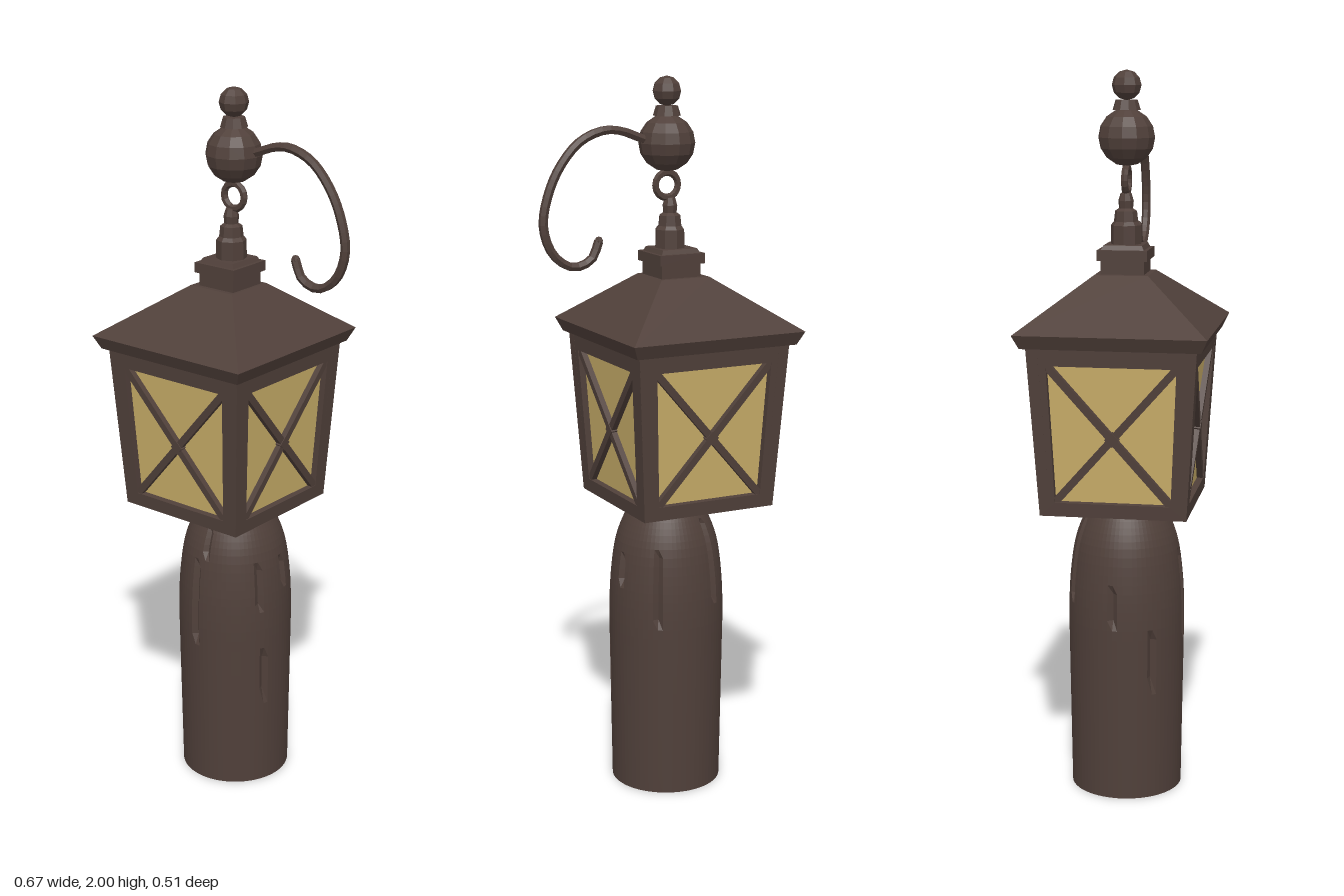
import * as THREE from 'three';

export function createModel() {
  const model = new THREE.Group();
  const brown = new THREE.MeshStandardMaterial({ color: 0x50403a, flatShading: true });
  brown.name = 'weathered brown';
  const amber = new THREE.MeshStandardMaterial({ color: 0xc8ad68, flatShading: true });
  amber.name = 'amber glass';

  const add = (name, geometry, material = brown, parent = model) => {
    const mesh = new THREE.Mesh(geometry, material);
    mesh.name = name;
    parent.add(mesh);
    return mesh;
  };

  // Square block whose lower and upper halves differ in width and x centre
  const block = (name, y0, y1, half0, half1, x0, x1 = x0) => {
    const g = new THREE.BoxGeometry(2, 1, 2);
    const p = g.attributes.position;
    for (let i = 0; i < p.count; i++) {
      const up = p.getY(i) > 0;
      const half = up ? half1 : half0;
      p.setXYZ(i, p.getX(i) * half + (up ? x1 : x0), up ? y1 : y0, p.getZ(i) * half);
    }
    g.computeVertexNormals();
    return add(name, g);
  };

  const ball = (name, x, y, r, z = 0, w = 12, h = 8) =>
    add(name, new THREE.SphereGeometry(r, w, h)).position.set(x, y, z);

  // Wooden post: rounded shoulder, with cracks pushed into the surface
  const radius = new THREE.CatmullRomCurve3([
    [0.155, 0], [0.158, 0.2], [0.161, 0.4], [0.162, 0.52], [0.157, 0.62],
    [0.142, 0.72], [0.115, 0.79], [0.085, 0.84],
  ].map(([r, y]) => new THREE.Vector3(r, y, 0)));
  const profile = [new THREE.Vector2(0, 0),
    ...radius.getPoints(28).map(v => new THREE.Vector2(v.x, v.y))];
  const postGeo = new THREE.LatheGeometry(profile, 72);
  const cracks = [ // angle, lowest y, highest y
    [-0.1, 0.46, 0.69], [0.1, 0.72, 0.78], [1.1, 0.55, 0.68], [-0.95, 0.33, 0.48],
    [1.25, 0.3, 0.42], [1.75, 0.6, 0.68], [2.5, 0.5, 0.7], [-2.6, 0.55, 0.78], [-1.7, 0.5, 0.62],
  ];
  const pp = postGeo.attributes.position;
  for (let i = 0; i < pp.count; i++) {
    const x = pp.getX(i), y = pp.getY(i), z = pp.getZ(i);
    const a = Math.atan2(x, z);
    if (cracks.some(([c, lo, hi]) => Math.abs(a - c) < 0.0437 && y > lo && y < hi)) {
      pp.setXYZ(i, x * 0.92, y, z * 0.92);
    }
  }
  postGeo.computeVertexNormals();
  add('post', postGeo).position.x = -0.045;

  // Lantern body: four leaning framed panes
  const bodyX = -0.078;
  const trapezoid = (Path, y0, y1, h0, h1) => {
    const s = new Path();
    s.moveTo(-h0, y0);
    s.lineTo(h0, y0);
    s.lineTo(h1, y1);
    s.lineTo(-h1, y1);
    s.closePath();
    return s;
  };
  const bar = (parent, x0, y0, x1, y1) => {
    const len = Math.hypot(x1 - x0, y1 - y0);
    const m = add('crossBar', new THREE.BoxGeometry(len, 0.02, 0.02), brown, parent);
    m.position.set((x0 + x1) / 2, (y0 + y1) / 2, -0.012);
    m.rotation.z = Math.atan2(y1 - y0, x1 - x0);
  };
  for (let i = 0; i < 4; i++) {
    const side = new THREE.Group();
    side.name = 'lanternSide';
    side.position.set(bodyX, 0, 0);
    side.rotation.y = i * Math.PI / 2;
    const panel = new THREE.Group();
    panel.name = 'panel';
    panel.position.set(0, 0.83, 0.198);
    panel.rotation.x = 0.061;
    side.add(panel);
    model.add(side);

    const frame = trapezoid(THREE.Shape, 0, 0.468, 0.198, 0.227);
    frame.holes.push(trapezoid(THREE.Path, 0.038, 0.412, 0.156, 0.173));
    const frameGeo = new THREE.ExtrudeGeometry(frame, { depth: 0.03, bevelEnabled: false });
    frameGeo.translate(0, 0, -0.03);
    add('paneFrame', frameGeo, brown, panel);

    const glass = trapezoid(THREE.Shape, 0.03, 0.42, 0.16, 0.178);
    add('glass', new THREE.ShapeGeometry(glass), amber, panel).position.z = -0.018;
    bar(panel, -0.156, 0.038, 0.173, 0.412);
    bar(panel, 0.156, 0.038, -0.173, 0.412);
    const boss = add('crossBoss', new THREE.BoxGeometry(0.028, 0.028, 0.022), brown, panel);
    boss.position.set(0, 0.216, -0.011);
    boss.rotation.z = Math.PI / 4;
  }
  block('lanternFloor', 0.831, 0.86, 0.194, 0.196, bodyX);

  // Roof and stepped cap
  block('eave', 1.288, 1.325, 0.24, 0.257, -0.079);
  block('roof', 1.325, 1.463, 0.257, 0.073, -0.079, -0.066);
  block('capNeck', 1.455, 1.505, 0.059, 0.059, -0.06);
  block('capSlab', 1.5, 1.528, 0.068, 0.068, -0.06);
  block('capTop', 1.528, 1.54, 0.058, 0.052, -0.06);

  // Turned finial above the cap
  const finial = [[0, 1.53], [0.042, 1.53], [0.041, 1.59], [0.033, 1.6], [0.03, 1.628],
    [0.019, 1.635], [0.021, 1.655], [0.015, 1.675], [0, 1.68]];
  add('finial', new THREE.LatheGeometry(finial.map(p => new THREE.Vector2(...p)), 8))
    .position.x = -0.055;

  // Hanging ring, ball and knob
  const topX = -0.045;
  add('hangingRing', new THREE.TorusGeometry(0.034, 0.01, 6, 16)).position.set(topX, 1.71, 0);
  ball('ball', topX, 1.823, 0.077);
  const collar = add('collar', new THREE.CylinderGeometry(0.03, 0.038, 0.026, 10));
  collar.position.set(topX, 1.908, 0);
  ball('knob', topX, 1.96, 0.04, 0, 8, 6);

  // Curled hook
  const hookPoints = [[0.01, 1.83], [0.04, 1.84], [0.09, 1.858], [0.14, 1.862], [0.21, 1.836],
    [0.268, 1.775], [0.305, 1.7], [0.32, 1.615], [0.292, 1.54], [0.235, 1.504], [0.182, 1.522],
    [0.16, 1.57]].map(([x, y]) => new THREE.Vector3(x, y, -0.003));
  const hookCurve = new THREE.CatmullRomCurve3(hookPoints);
  add('hook', new THREE.TubeGeometry(hookCurve, 30, 0.0125, 6));
  ball('hookTip', 0.16, 1.57, 0.0125, -0.003, 6, 4);

  return model;
}
